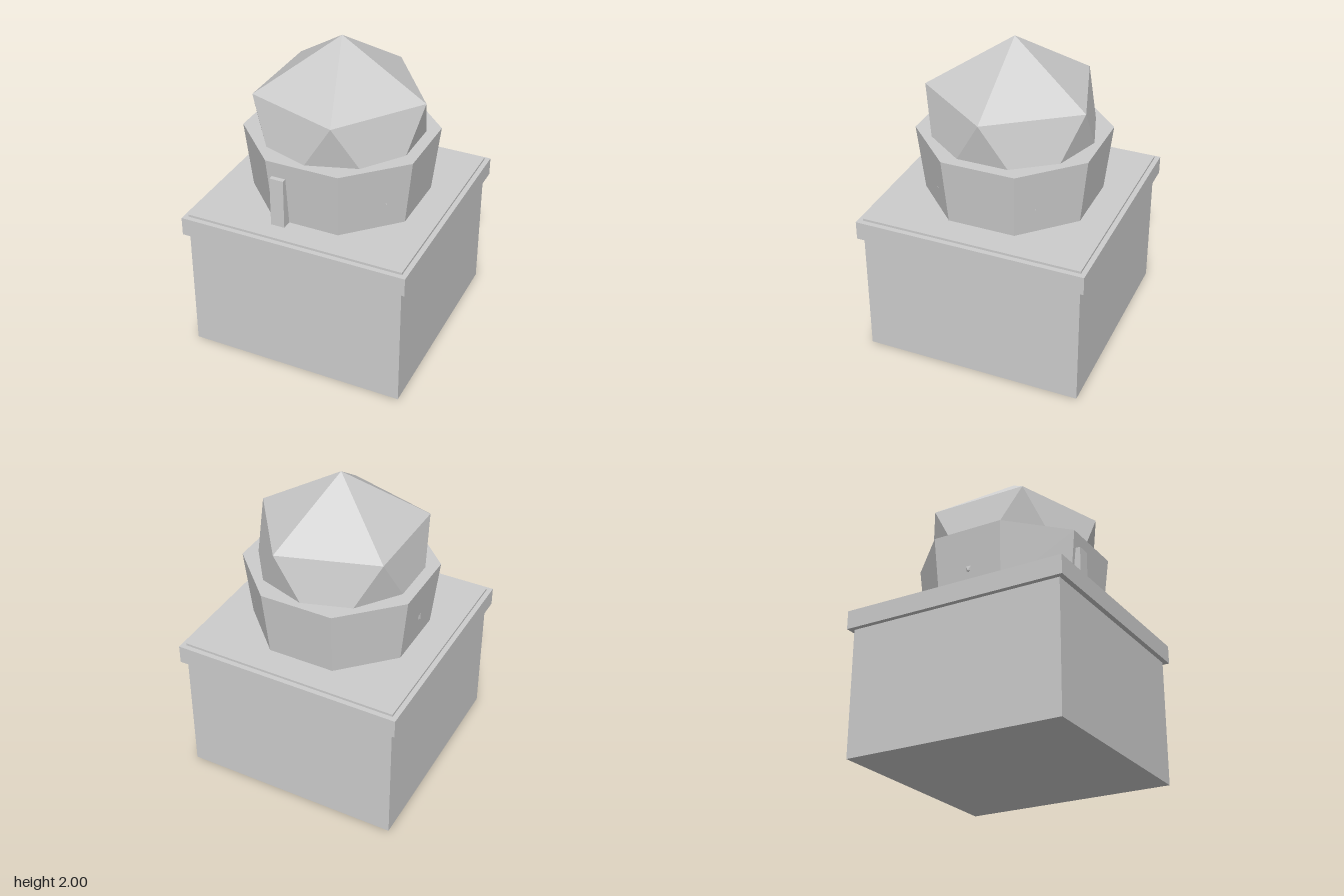
import * as THREE from 'three';

export function createModel() {
  const group = new THREE.Group();
  const grey = new THREE.MeshStandardMaterial({ color: 0xcccccc, flatShading: true });
  grey.name = 'light grey';

  function add(name, geometry, x, y, z) {
    const mesh = new THREE.Mesh(geometry, grey);
    mesh.name = name;
    mesh.position.set(x, y, z);
    group.add(mesh);
  }
  // Box given by its lower and upper height
  function block(name, width, y0, y1, depth, x = 0, z = 0) {
    add(name, new THREE.BoxGeometry(width, y1 - y0, depth), x, (y0 + y1) / 2, z);
  }

  // Square plinth with a projecting band just under its top
  block('plinth', 1.412, 0, 0.955, 1.412);
  block('plinthBand', 1.476, 0.82, 0.94, 1.476);

  // Octagonal drum flaring outwards, flat sides facing the axes
  const corner = 1 / Math.cos(Math.PI / 8);
  const drum = new THREE.CylinderGeometry(0.566 * corner, 0.52 * corner, 0.43, 8);
  drum.rotateY(Math.PI / 8);
  add('drum', drum, 0, 1.17, 0);

  // Door slab standing proud of the drum
  block('door', 0.09, 0.955, 1.28, 0.085, -0.155, 0.5425);

  // Faceted dome: an icosahedron standing on a vertex, whose lower
  // corners just poke through the drum walls
  const dome = new THREE.IcosahedronGeometry(0.611, 0);
  dome.rotateX(-Math.atan((1 + Math.sqrt(5)) / 2));
  dome.rotateY(Math.PI / 2);
  add('dome', dome, 0, 1.389, 0);

  return group;
}
